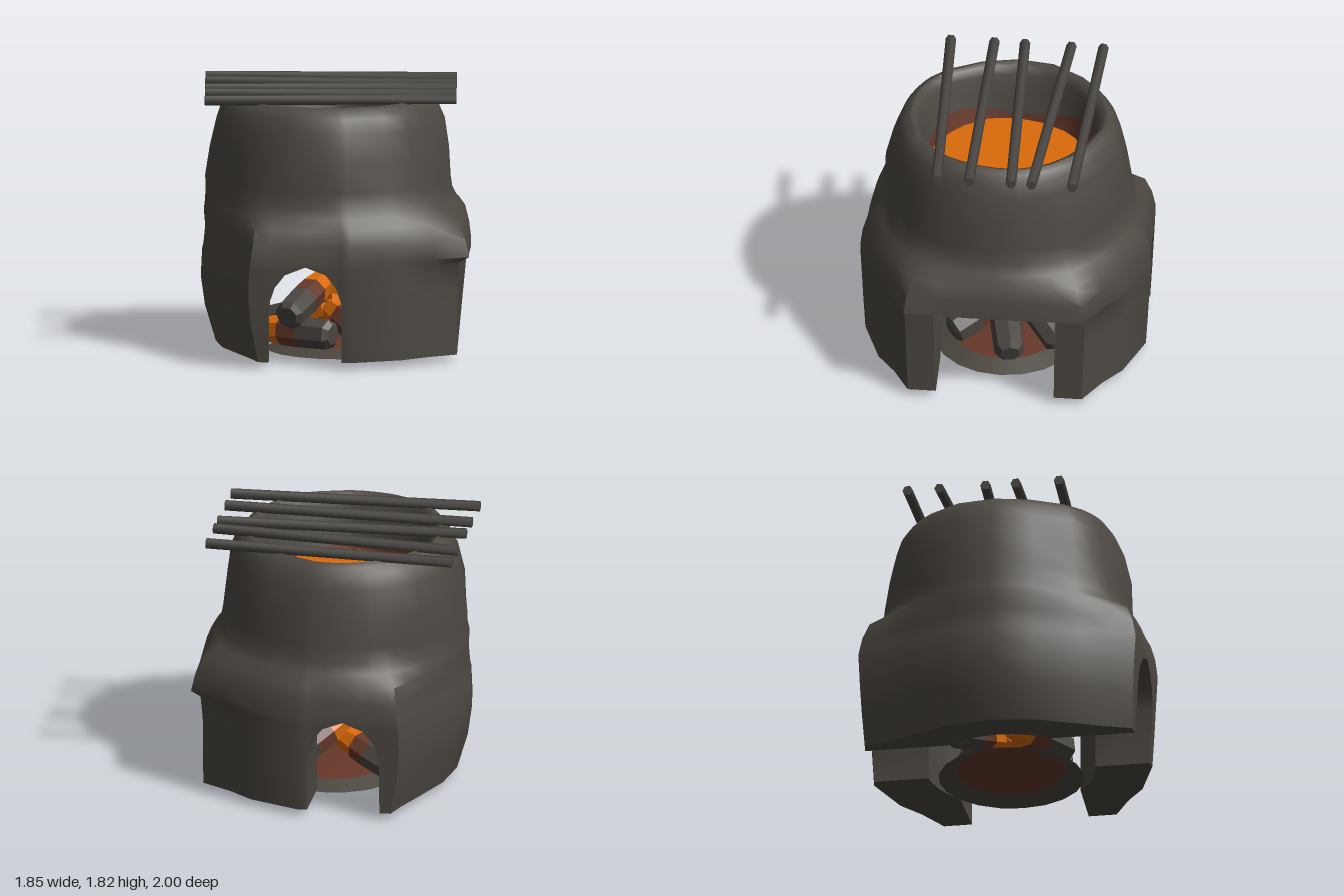
import * as THREE from 'three';
import { toCreasedNormals } from 'three/addons/utils/BufferGeometryUtils.js';

const mat = (name, color) => {
  const m = new THREE.MeshStandardMaterial({ color });
  m.name = name;
  return m;
};

// Skins neighbouring columns of points; flattened triangles are skipped
function loft(cols, crease) {
  const pos = [];
  const tri = (a, b, c) => {
    const n = b.clone().sub(a).cross(c.clone().sub(a));
    if (n.length() > 1e-7) [a, b, c].forEach(p => pos.push(p.x, p.y, p.z));
  };
  for (let i = 0; i < cols.length - 1; i++) {
    for (let k = 0; k < cols[i].length - 1; k++) {
      const a = cols[i][k], d = cols[i][k + 1], b = cols[i + 1][k], c = cols[i + 1][k + 1];
      tri(a, d, c);
      tri(a, c, b);
    }
  }
  const g = new THREE.BufferGeometry();
  g.setAttribute('position', new THREE.Float32BufferAttribute(pos, 3));
  return toCreasedNormals(g, crease);
}

// Half of the ground plan: x, z, lower edge height, angle on the inner wall
const HALF = [
  [.92, 0, .72, 0], [.92, .2, .72, 20], [.91, .42, .72, 46], [.91, .42, .05, 46],
  [.91, .62, .05, 52], [.68, .74, .05, 60], [.45, .87, .05, 68], [.1, 1, .05, 80],
  [.04, .99, .05, 86], [.04, .99, .45, 86], [0, .985, .57, 90], [-.07, .98, .66, 97],
  [-.21, .98, .715, 111], [-.35, .975, .66, 127], [-.42, .97, .57, 136], [-.46, .97, .45, 142.5],
  [-.46, .97, .05, 142.5], [-.6, .96, .05, 147], [-.66, .8, .05, 152], [-.75, .6, .05, 158],
  [-.88, .3, .05, 168], [-.93, 0, .05, 180],
];
const PLAN = [
  ...HALF,
  ...HALF.slice(1, -1).reverse().map(([x, z, y, a]) => [x, -z, y, 360 - a]),
  HALF[0],
];

// Outer rows: height, blend to the round upper part, scale, right scale, left scale
const ROWS = [
  [.05, 0, .965, .91, .89], [.3, 0, .98, .91, .97], [.5, 0, .99, .91, 1], [.69, 0, 1, .92, .99],
  [.73, 0, 1, 1, .98], [.85, .1, 1, 1, .97], [.96, .3, 1, 1, .99], [1.03, .7, 1, 1, 1],
  [1.1, .93, 1, 1, 1.01], [1.2, 1, 1, 1, 1], [1.4, 1, .975, 1, 1], [1.6, 1, .93, 1, 1],
  [1.7, 1, .885, 1, 1], [1.75, 1, .84, 1, 1], [1.77, 1, .79, 1, 1],
];
// Bowl rows inside the rim: height, scale
const BOWL = [[1.755, .75], [1.7, .72], [1.58, .69], [1.46, .66], [1.36, .63]];

function rowAt(y) {
  const k = Math.max(1, ROWS.findIndex(r => r[0] >= y));
  const a = ROWS[k - 1], b = ROWS[k];
  const f = (y - a[0]) / (b[0] - a[0]);
  return a.map((v, i) => v + (b[i] - v) * f);
}

function upperPoint(x, z, y, s) {
  const a = Math.atan2(z, x + .05);
  const w = s * (1 + .012 * Math.sin(5 * a + 9 * y));
  return new THREE.Vector3(-.05 + .84 * w * Math.cos(a), y, .85 * w * Math.sin(a));
}

function outerPoint(x, z, y) {
  const [, t, s, right, left] = rowAt(y);
  const sx = x > .5 ? right : x < -.5 ? left : 1;
  return new THREE.Vector3(x * sx, y, z * Math.min(s, 1)).lerp(upperPoint(x, z, y, s), t);
}

// One column runs from the chamber ceiling, down, under the wall, up and into the bowl
function bodyColumn([x, z, yLow, deg]) {
  const a = THREE.MathUtils.degToRad(deg);
  const inner = (r, y) => new THREE.Vector3(r * Math.cos(a), y, r * Math.sin(a));
  return [
    inner(0, 1.25), inner(.45, 1.18), inner(.56, .98), inner(.58, .75), inner(.58, yLow),
    ...ROWS.map(r => outerPoint(x, z, Math.max(r[0], yLow))),
    ...BOWL.map(([y, s]) => upperPoint(x, z, y, s)),
  ];
}

// Uneven glowing band at the foot of the bowl wall
function emberColumn([x, z]) {
  const a = Math.atan2(z, x);
  const top = 1.46 + .05 * Math.sin(3 * a + 1) + .07 * Math.max(0, -Math.sin(a));
  const at = y => upperPoint(x, z, y, .63 + .03 * (y - 1.36) / .1 - (y > 1.46 ? .015 : .008));
  return [at(top), at((top + 1.37) / 2), at(1.37)];
}

export function createModel() {
  const group = new THREE.Group();
  const clay = mat('sooty clay', 0x4d4842);
  const iron = mat('dark iron', 0x4a4743);
  const char = mat('charred wood', 0x4a4641);
  const ember = mat('ember brown', 0x66382a);
  const fire = mat('glowing orange', 0xdb6a0a);
  const ash = mat('ash', 0x4b463f);
  const emberSheet = mat('ember sheet', 0x66382a);
  for (const m of [clay, ash, emberSheet]) m.side = THREE.DoubleSide;

  const add = (name, geo, material, parent = group) => {
    const m = new THREE.Mesh(geo, material);
    m.name = name;
    parent.add(m);
    return m;
  };

  // Furnace body, with the arches and side mouth left open
  add('furnaceBody', loft(PLAN.map(bodyColumn), .85), clay);

  // Fire in the bowl
  add('emberBand', loft(PLAN.map(emberColumn), 1), emberSheet);
  const bed = add('fireBed', new THREE.CylinderGeometry(.54, .54, .01, 28), fire);
  bed.position.set(-.05, 1.38, 0);
  const spot = add('emberSpot', new THREE.CylinderGeometry(.065, .065, .006, 8), ember);
  spot.position.set(.18, 1.388, .1);

  // Grill bars: z at the left end and at the right end
  [[-.57, -.53], [-.35, -.25], [-.03, -.11], [.18, .18], [.48, .4]].forEach(([z0, z1]) => {
    const len = Math.hypot(1.72, z1 - z0);
    const geo = new THREE.CylinderGeometry(.036, .036, len, 6).toNonIndexed();
    geo.rotateZ(Math.PI / 2);
    const bar = add('grillBar', toCreasedNormals(geo, 1.1), iron);
    bar.rotation.y = -Math.atan2(z1 - z0, 1.72);
    bar.position.set(-.04, 1.79, (z0 + z1) / 2);
  });

  // Low heap of ash and embers on the ground
  const heap = (name, pts, m) => {
    const geo = new THREE.LatheGeometry(pts.map(p => new THREE.Vector2(...p)), 20);
    add(name, geo, m).position.x = .02;
  };
  heap('ashRing', [[.5, 0], [.37, .05]], ash);
  heap('emberHeap', [[.37, .05], [.2, .075], [0, .085]], emberSheet);

  // Logs leaning inward: outer end, inner end
  const logs = [
    [[-.05, .15, .38], [-.5, .15, .08]],
    [[.42, .14, -.06], [-.06, .3, .04]],
    [[.28, .16, -.38], [-.06, .39, -.06]],
    [[-.32, .3, .46], [-.1, .45, -.03]],
    [[-.42, .15, -.3], [-.06, .26, -.08]],
    [[.2, .14, .34], [-.03, .28, .02]],
  ];
  // Sections: start, end, start radius, end radius, colour
  const sections = [
    [-.06, 0, .07, .105, char], [0, .42, .105, .11, char],
    [.42, .7, .11, .105, ember], [.7, 1, .105, .085, fire],
  ];
  for (const [p, q] of logs) {
    const a = new THREE.Vector3(...p), dir = new THREE.Vector3(...q).sub(a);
    const len = dir.length();
    const log = new THREE.Group();
    log.name = 'log';
    log.position.copy(a);
    log.quaternion.setFromUnitVectors(new THREE.Vector3(0, 1, 0), dir.normalize());
    for (const [s, e, r0, r1, m] of sections) {
      const geo = new THREE.CylinderGeometry(r1, r0, (e - s) * len, 7).toNonIndexed();
      add('logSection', toCreasedNormals(geo, .6), m, log).position.y = (s + e) / 2 * len;
    }
    group.add(log);
  }
  return group;
}
